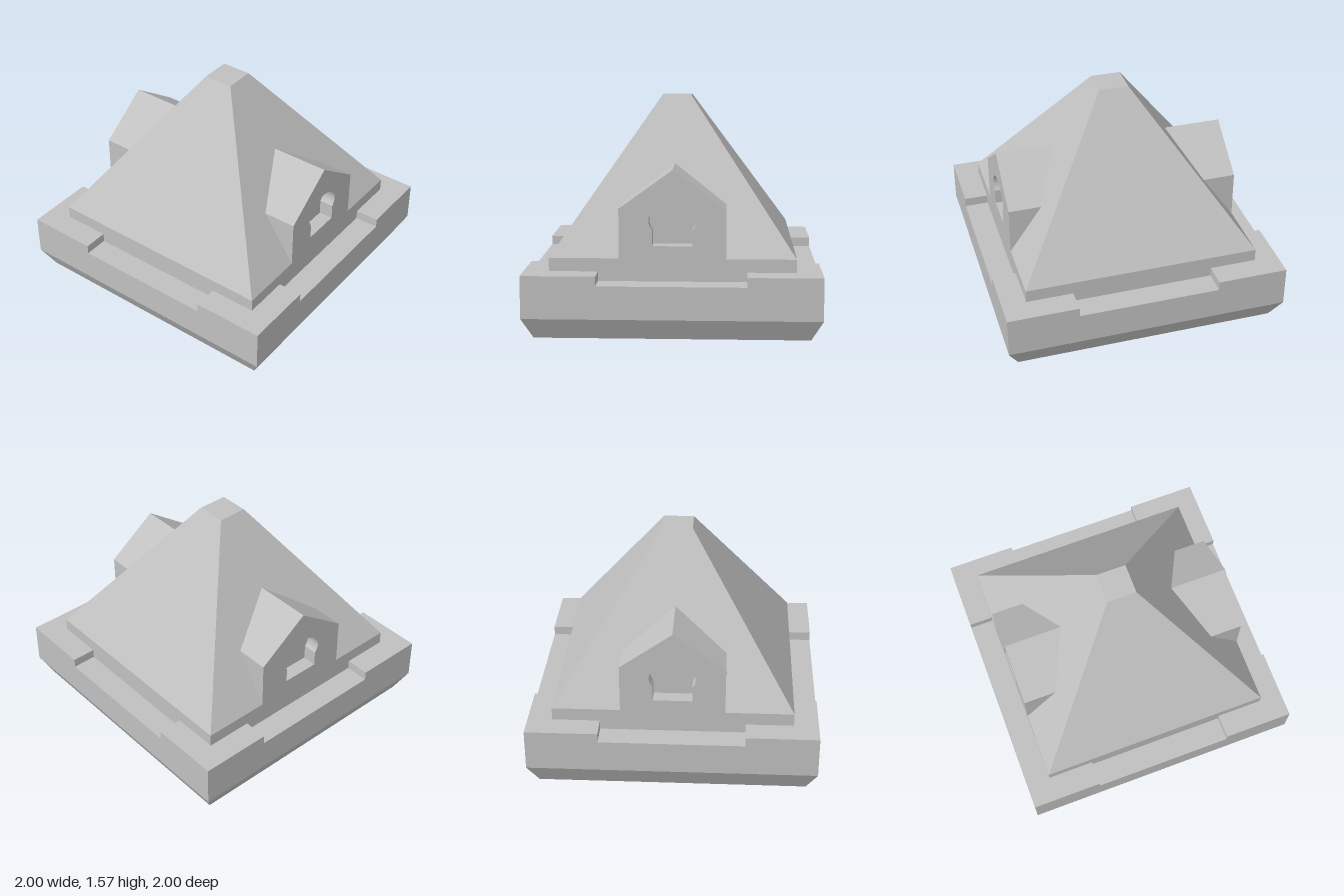
import * as THREE from 'three';

const stone = new THREE.MeshStandardMaterial({ color: 0xc0c0c0 });
stone.name = 'grey stone';

const EAVE = 0.525, TOP = 1.57, HALF = 0.83, TIP = 0.105;

function add(parent, name, geometry) {
  const mesh = new THREE.Mesh(geometry, stone);
  mesh.name = name;
  parent.add(mesh);
  return mesh;
}

function polygon(points) {
  return new THREE.Shape(points.map(([x, y]) => new THREE.Vector2(x, y)));
}

function faceted(geometry) {
  const g = geometry.toNonIndexed();
  g.computeVertexNormals();
  return g;
}

// Square block that may taper, given its half widths and heights
function block(low, high, y0, y1) {
  const r = Math.SQRT2;
  const g = new THREE.CylinderGeometry(high * r, low * r, y1 - y0, 4);
  return faceted(g.rotateY(Math.PI / 4).translate(0, (y0 + y1) / 2, 0));
}

// One roof side, drawn upright and then leaned back
function roofSide(opening) {
  const g = new THREE.ShapeGeometry(polygon([
    [-HALF, EAVE], ...opening, [HALF, EAVE], [TIP, TOP], [-TIP, TOP],
  ]));
  const p = g.attributes.position;
  for (let i = 0; i < p.count; i++) {
    const t = (p.getY(i) - EAVE) / (TOP - EAVE);
    p.setZ(i, HALF + (TIP - HALF) * t);
  }
  return faceted(g);
}

const gable = [[-0.36, EAVE], [-0.36, 0.86], [0, 1.12], [0.36, 0.86], [0.36, EAVE]];

// Gabled dormer with a shallow keyhole-shaped niche
function dormer() {
  const group = new THREE.Group();
  group.name = 'dormer';
  const niche = 0.1, back = 0.38;

  const wall = polygon([...gable].reverse());
  const hole = new THREE.Path();
  const a = Math.acos(0.135 / 0.16);
  hole.moveTo(-0.135, 0.61);
  hole.lineTo(0.135, 0.61);
  hole.absellipse(0, 0.78, 0.16, 0.117, -a, Math.PI + a, false, 0);
  hole.closePath();
  wall.holes.push(hole);
  add(group, 'dormerFront', new THREE.ExtrudeGeometry(wall, {
    depth: niche, bevelEnabled: false, curveSegments: 24,
  }).translate(0, 0, HALF - niche));

  add(group, 'dormerBody', new THREE.ExtrudeGeometry(polygon([...gable].reverse()), {
    depth: HALF - niche - back, bevelEnabled: false,
  }).translate(0, 0, back));
  return group;
}

export function createModel() {
  const model = new THREE.Group();
  model.name = 'pyramidRoofCap';

  // Plinth with undercut foot
  add(model, 'foot', block(0.925, 1, 0, 0.145));
  add(model, 'plinth', block(1, 1, 0.145, 0.37));

  // Raised rim corners, leaving a notch in the middle of each side
  const corner = new THREE.ExtrudeGeometry(polygon([
    [0.5, HALF], [HALF, HALF], [HALF, 0.5], [1, 0.5], [1, 1], [0.5, 1],
  ]), { depth: 0.065, bevelEnabled: false }).rotateX(-Math.PI / 2).translate(0, 0.37, 0);

  add(model, 'roofSkirt', block(HALF, HALF, 0.37, EAVE));

  // Four roof sides, with dormers at front and back
  for (let i = 0; i < 4; i++) {
    const turn = i * Math.PI / 2;
    add(model, 'rimCorner', corner).rotation.y = turn;
    const hasDormer = i % 2 === 0;
    add(model, 'roofSide', roofSide(hasDormer ? gable : [])).rotation.y = turn;
    if (hasDormer) {
      const d = dormer();
      d.rotation.y = turn;
      model.add(d);
    }
  }

  // Flat top
  add(model, 'roofTop', new THREE.PlaneGeometry(2 * TIP, 2 * TIP)
    .rotateX(-Math.PI / 2).translate(0, TOP, 0));

  return model;
}
